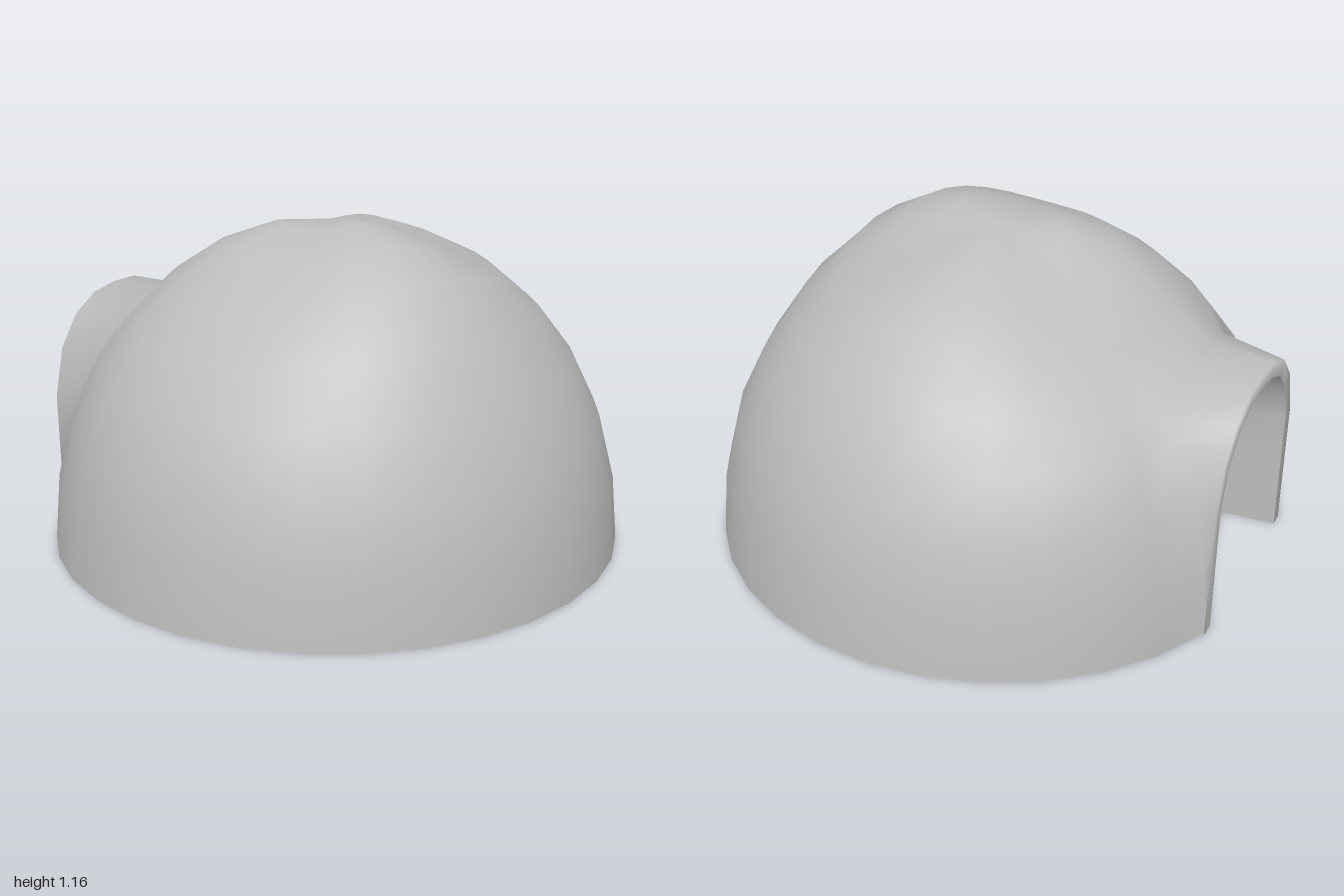
import * as THREE from 'three';

const SEG = 32;
const CX = -0.03; // dome axis

// Dome rings: radius, height, rise towards +x, rise towards +z, diagonal unevenness
const RINGS = [
  [1.0, 0, 0, 0, 0],
  [0.98, 0.23, 0, 0, 0],
  [0.922, 0.46, 0, 0, 0],
  [0.83, 0.652, 0, 0, 0],
  [0.712, 0.81, 0.035, -0.008, 0.022],
  [0.56, 0.95, 0.042, -0.005, 0.028],
  [0.39, 1.05, 0.032, 0.01, 0.026],
  [0.2, 1.12, 0.018, 0.012, 0.014],
];
const POLE = [CX, 1.135, 0];

// Half arches (z, y) from the ground to the crown
const OUTER = [[0.385, 0], [0.385, 0.23], [0.385, 0.45], [0.335, 0.62], [0.24, 0.725], [0.125, 0.775], [0, 0.785]];
const INNER = [[0.335, 0], [0.335, 0.23], [0.335, 0.45], [0.29, 0.59], [0.205, 0.68], [0.105, 0.72], [0, 0.73]];
const REAR = INNER.map(([z, y]) => [z * 0.95, y * 0.98]);

// Full arch as 3D points, running over the crown from +z to -z
function arch(half, xAt) {
  const other = half.slice(0, -1).reverse().map(([z, y]) => [-z, y]);
  return [...half, ...other].map(([z, y]) => [xAt(y), y, z]);
}

// Join two rows of vertex numbers with quads
function stitch(index, a, b) {
  for (let j = 0; j < a.length - 1; j++) {
    index.push(a[j], a[j + 1], b[j], a[j + 1], b[j + 1], b[j]);
  }
}

function build(points, index) {
  const g = new THREE.BufferGeometry();
  g.setAttribute('position', new THREE.Float32BufferAttribute(points.flat(), 3));
  g.setIndex(index);
  g.computeVertexNormals();
  return g.toNonIndexed(); // drops the unused points in the doorway
}

function strip(a, b) {
  const index = [];
  stitch(index, a.map((_, j) => j), b.map((_, j) => a.length + j));
  return build([...a, ...b], index);
}

// Dome with a doorway on the -x side, flaring smoothly out to the arch and its lip
function domeGeometry(outer, inner) {
  const points = [];
  const index = [];
  const id = (ring, col) => ring * SEG + (col % SEG);
  for (const [r, y, tx, tz, d] of RINGS) {
    for (let i = 0; i < SEG; i++) {
      const t = (i / SEG) * Math.PI * 2;
      const rise = tx * Math.cos(t) + tz * Math.sin(t) + d * (Math.sin(t) + Math.sin(3 * t));
      points.push([CX + r * Math.cos(t), y + rise, r * Math.sin(t)]);
    }
  }
  // Lower the doorway's shoulder points so that the opening is rounded
  for (const i of [14, 18]) {
    const below = points[id(3, i)];
    points[id(4, i)] = points[id(4, i)].map((v, n) => v + 0.35 * (below[n] - v));
  }
  const pole = points.push(POLE) - 1;
  const top = RINGS.length - 1;
  for (let i = 0; i < SEG; i++) {
    for (let k = 0; k < top; k++) {
      if (k < 4 && i >= 14 && i < 18) continue; // doorway
      index.push(id(k, i), id(k + 1, i), id(k, i + 1));
      index.push(id(k + 1, i), id(k + 1, i + 1), id(k, i + 1));
    }
    index.push(id(top, i), pole, id(top, i + 1));
  }
  // Flare and lip
  const edge = [];
  for (let k = 0; k < 4; k++) edge.push(id(k, 14));
  for (let i = 14; i <= 18; i++) edge.push(id(4, i));
  for (let k = 3; k >= 0; k--) edge.push(id(k, 18));
  const rim = outer.map((p) => points.push(p) - 1);
  const lip = inner.map((p) => points.push(p) - 1);
  stitch(index, edge, rim);
  stitch(index, rim, lip);
  return build(points, index);
}

export function createModel() {
  const grey = new THREE.MeshStandardMaterial({ color: 0xbebebe, side: THREE.DoubleSide });
  grey.name = 'grey';
  const black = new THREE.MeshStandardMaterial({ color: 0x1d1d1d, side: THREE.DoubleSide });
  black.name = 'black';

  const group = new THREE.Group();
  group.name = 'domeHut';
  const add = (name, geometry, material) => {
    const mesh = new THREE.Mesh(geometry, material);
    mesh.name = name;
    group.add(mesh);
    return mesh;
  };

  const frontX = (y) => -0.957 - 0.018 * y;
  const outer = arch(OUTER, frontX);
  const inner = arch(INNER, frontX);
  const rear = arch(REAR, () => -0.7);

  add('dome', domeGeometry(outer, inner), grey);
  add('entranceLining', strip(inner, rear), grey);

  // Dark panel set just inside the rear of the entrance
  const shape = new THREE.Shape(rear.map(([, y, z]) => new THREE.Vector2(z, y)));
  const panel = new THREE.ShapeGeometry(shape).rotateY(-Math.PI / 2);
  add('doorPanel', panel, black).position.x = -0.742;

  return group;
}
